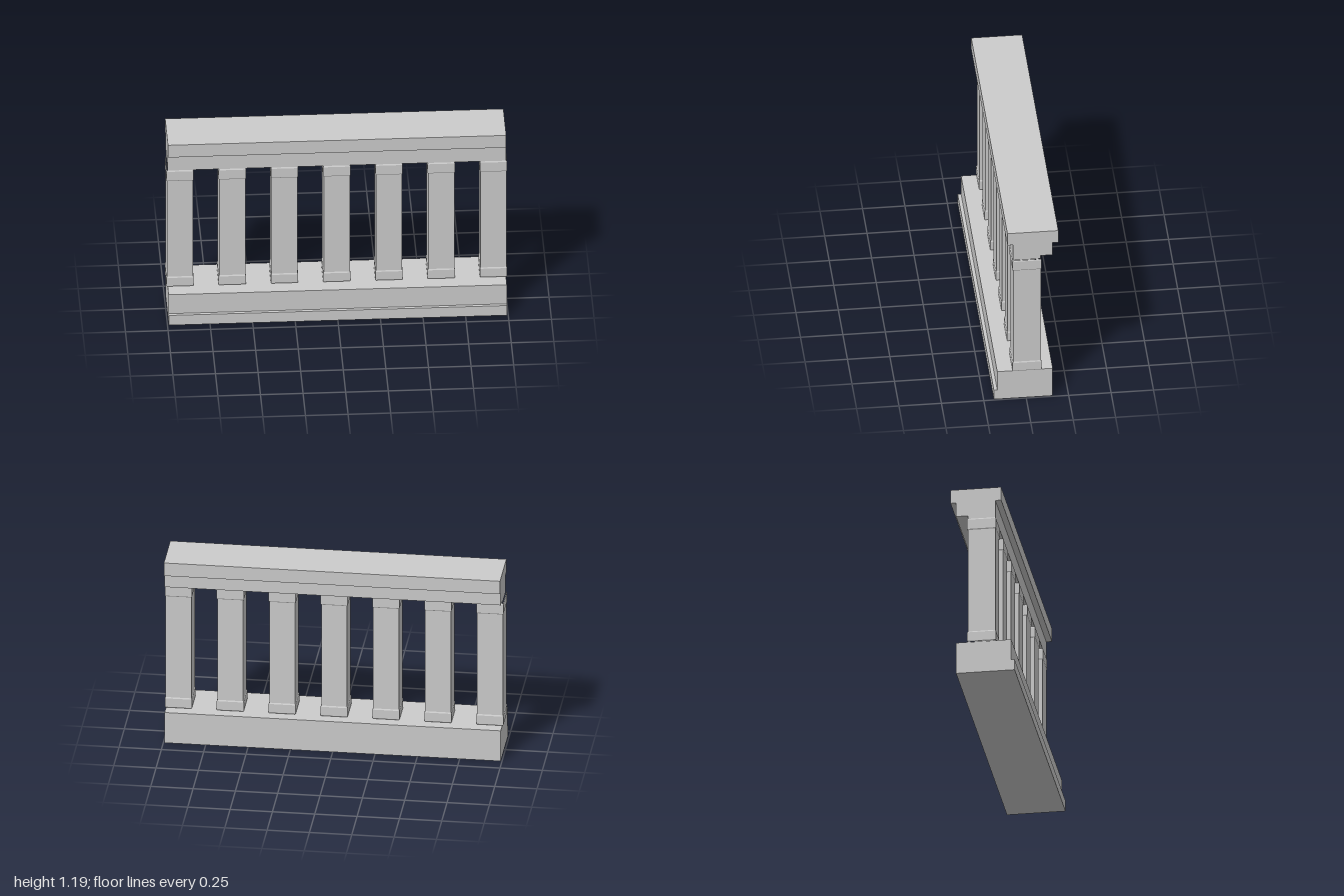
import * as THREE from 'three';

const material = new THREE.MeshStandardMaterial({ color: 0xcccccc, flatShading: true });

// Extrudes a (z, y) outline along x, centred on x = 0
function beam(name, outline, length) {
  const shape = new THREE.Shape(outline.map(([z, y]) => new THREE.Vector2(-z, y)));
  const geometry = new THREE.ExtrudeGeometry(shape, { depth: length, bevelEnabled: false });
  geometry.translate(0, 0, -length / 2).rotateY(Math.PI / 2);
  const mesh = new THREE.Mesh(geometry, material);
  mesh.name = name;
  return mesh;
}

export function createModel() {
  const group = new THREE.Group();
  group.name = 'balustrade';
  const length = 1.985;

  // Plinth with a small ledge along the front
  group.add(beam('base', [
    [0.19, 0], [-0.157, 0], [-0.157, 0.197], [0.17, 0.197], [0.17, 0.067], [0.19, 0.067],
  ], length));

  // Handrail: wide top slab over a neck that is stepped underneath
  group.add(beam('handrail', [
    [0.11, 1.186], [0.11, 1.102], [0.076, 1.102], [0.076, 0.992], [-0.086, 0.992],
    [-0.086, 1.014], [-0.157, 1.014], [-0.157, 1.102], [-0.19, 1.102], [-0.19, 1.186],
  ], length));

  // Square baluster with a chamfered band at each end: [half-width ratio, height]
  const profile = [
    [1, 0.197], [1.05, 0.203], [1.05, 0.257], [1, 0.264],
    [1, 0.92], [1.05, 0.926], [1.05, 0.985], [1, 0.992],
  ].map(([r, y]) => new THREE.Vector2(r * Math.SQRT2, y));
  const balusterGeometry = new THREE.LatheGeometry(profile, 4, Math.PI / 4);
  balusterGeometry.scale(0.0762, 1, 0.081);

  const count = 7;
  for (let i = 0; i < count; i++) {
    const baluster = new THREE.Mesh(balusterGeometry, material);
    baluster.name = 'baluster' + (i + 1);
    baluster.position.set((i - (count - 1) / 2) * 0.3066, 0, -0.005);
    group.add(baluster);
  }
  return group;
}
